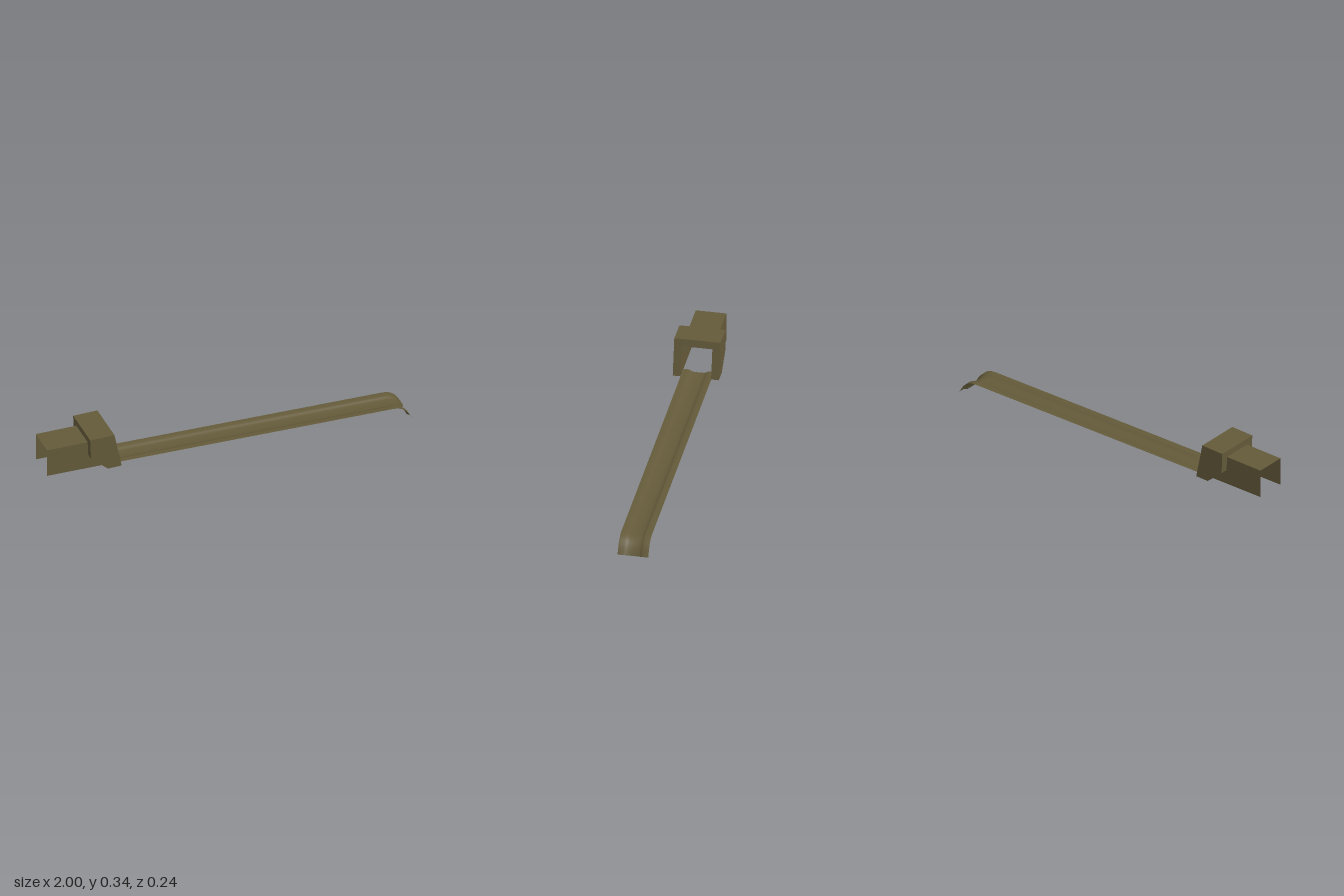
import * as THREE from 'three';

// Closed solid from an x-y side profile, spanning z0 to z1
function slab(name, points, z0, z1, material) {
  const shape = new THREE.Shape(points.map(([x, y]) => new THREE.Vector2(x, y)));
  const geometry = new THREE.ExtrudeGeometry(shape, { depth: z1 - z0, bevelEnabled: false });
  geometry.translate(0, 0, z0);
  const mesh = new THREE.Mesh(geometry, material);
  mesh.name = name;
  return mesh;
}

// Open sheet skinned over rows of points
function sheet(name, rows, material, flat) {
  const columns = rows[0].length;
  const index = [];
  for (let i = 0; i < rows.length - 1; i++) {
    for (let j = 0; j < columns - 1; j++) {
      const a = i * columns + j, b = a + columns;
      index.push(a, a + 1, b, a + 1, b + 1, b);
    }
  }
  let geometry = new THREE.BufferGeometry();
  geometry.setAttribute('position', new THREE.Float32BufferAttribute(rows.flat(2), 3));
  geometry.setIndex(index);
  if (flat) geometry = geometry.toNonIndexed();
  geometry.computeVertexNormals();
  const mesh = new THREE.Mesh(geometry, material);
  mesh.name = name;
  return mesh;
}

export function createModel() {
  const model = new THREE.Group();
  model.name = 'groovedStripWithSleeve';
  const olive = new THREE.MeshStandardMaterial({ color: 0x645a3a, side: THREE.DoubleSide });
  olive.name = 'olive brown';

  // Sleeve: thin channel, open below and at both ends
  const channelRow = (x, top, bottom) => [
    [x, bottom, 0.08], [x, top, 0.08], [x, top, -0.08], [x, bottom, -0.08],
  ];
  model.add(sheet('sleeve', [
    channelRow(-1, 0.303, 0.146), channelRow(-0.68, 0.298, 0.138),
  ], olive, true));

  // Collar: two thick cheeks joined by a top bridge
  const collar = new THREE.Group();
  collar.name = 'collar';
  const cheek = [
    [-0.78, 0.336], [-0.775, 0.22], [-0.683, 0.138], [-0.607, 0.138], [-0.647, 0.336],
  ];
  collar.add(slab('leftCheek', cheek, 0.08, 0.12, olive));
  collar.add(slab('rightCheek', cheek, -0.12, -0.08, olive));
  collar.add(slab('collarBridge', [
    [-0.78, 0.336], [-0.778, 0.298], [-0.639, 0.298], [-0.647, 0.336],
  ], -0.08, 0.08, olive));
  model.add(collar);

  // Strip: grooved section swept along a straight run and a hooked tip
  const hook = new THREE.CubicBezierCurve3(
    new THREE.Vector3(0.89, 0.088, 0), new THREE.Vector3(0.95, 0.086, 0),
    new THREE.Vector3(0.972, 0.06, 0), new THREE.Vector3(1, 0.006, 0));
  const section = [
    [0.08, 0], [0.05, 0], [0.04, 0.006], [0.028, 0.011], [0, 0.0115],
    [-0.028, 0.011], [-0.04, 0.006], [-0.05, 0], [-0.08, 0],
  ];
  const stripRow = (p, t) => section.map(([z, depth]) => [p.x + t.y * depth, p.y - t.x * depth, z]);
  const start = new THREE.Vector3(-0.684, 0.138, 0);
  const run = hook.getPoint(0).sub(start).normalize();
  const rows = [stripRow(start, run)];
  for (let i = 0; i <= 10; i++) {
    rows.push(stripRow(hook.getPoint(i / 10), hook.getTangent(i / 10)));
  }
  model.add(sheet('strip', rows, olive, false));

  return model;
}
